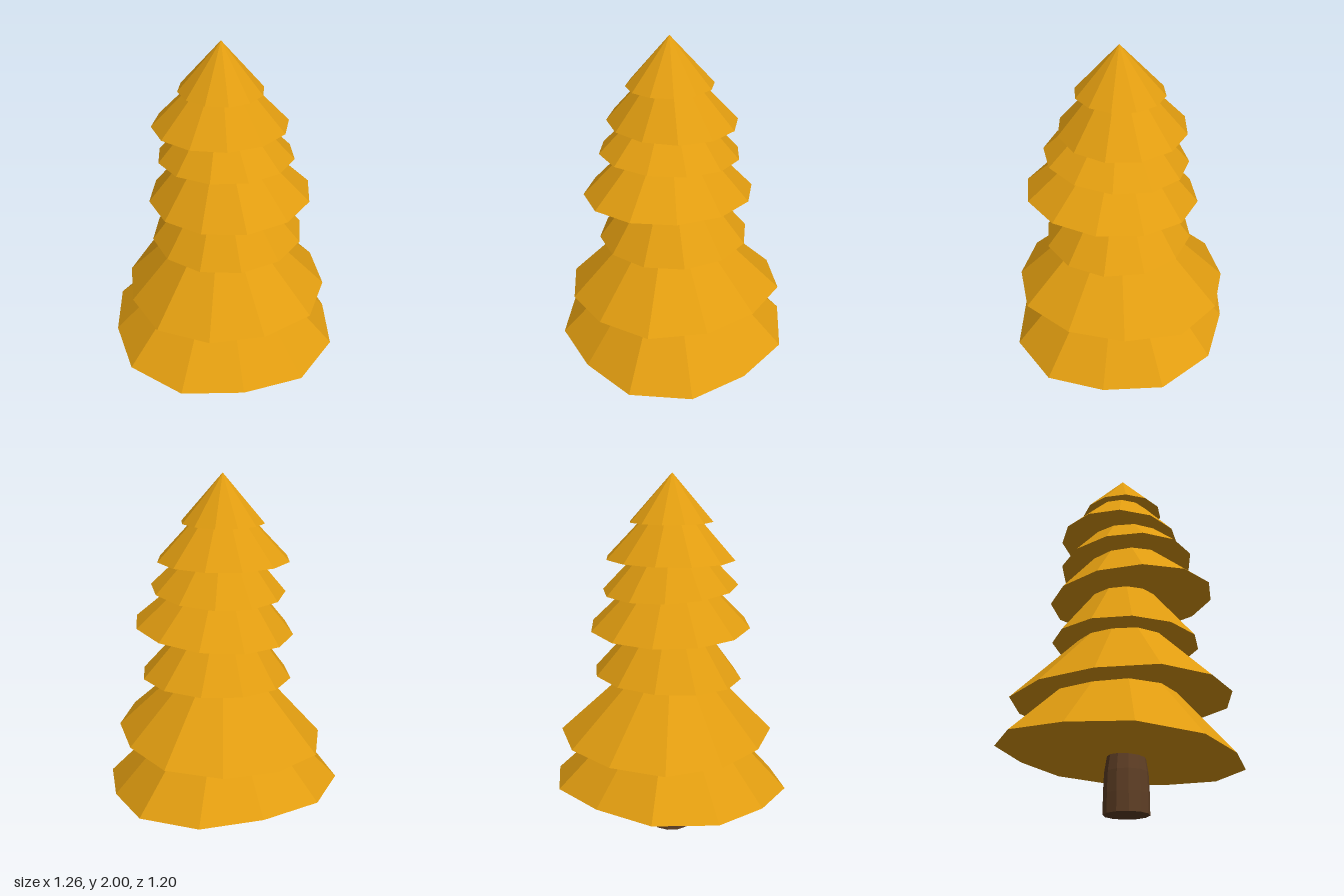
import * as THREE from 'three';

const SIDES = 12;

// Foliage tiers from bottom to top: rim height y tilted by slopeX and slopeZ, apex height,
// rim centre and radii, degrees to the first corner, and how far the rim bulges on its diagonals
const TIERS = [
  { y: 0.29, slopeX: -0.015, slopeZ: -0.065, apex: 0.95, cx: 0.01, cz: 0.01, rx: 0.655, rz: 0.625, turn: 29, bulge: 0.025 },
  { y: 0.59, slopeX: 0.035, slopeZ: 0.015, apex: 1.16, cx: 0.025, cz: 0.005, rx: 0.565, rz: 0.595, turn: 19, bulge: 0.015 },
  { y: 0.92, slopeX: 0.035, slopeZ: -0.02, apex: 1.42, cx: 0.035, cz: 0.022, rx: 0.415, rz: 0.4, turn: 0, bulge: 0 },
  { y: 1.185, slopeX: 0.05, slopeZ: 0.04, apex: 1.63, cx: 0.04, cz: 0.055, rx: 0.43, rz: 0.46, turn: 0, bulge: 0 },
  { y: 1.4, slopeX: 0.01, slopeZ: 0.07, apex: 1.78, cx: 0.022, cz: 0.033, rx: 0.358, rz: 0.378, turn: -7, bulge: 0 },
  { y: 1.562, slopeX: 0.005, slopeZ: 0, apex: 1.93, cx: 0, cz: 0.003, rx: 0.355, rz: 0.333, turn: 4, bulge: 0 },
  { y: 1.752, slopeX: 0, slopeZ: 0, apex: 2, cx: 0.001, cz: 0.016, rx: 0.218, rz: 0.23, turn: 1, bulge: 0 },
];

// Closed cone with an off-centre oval rim and a tilted flat underside
function tierGeometry(t) {
  const rimPoint = (x, z) => [x, t.y + t.slopeX * x + t.slopeZ * z, z];
  const apex = [0, t.apex, 0.02];
  const base = rimPoint(t.cx, t.cz);
  const corner = (i) => {
    const a = THREE.MathUtils.degToRad(t.turn) + ((i % SIDES) / SIDES) * Math.PI * 2;
    const bulge = -t.bulge * Math.cos(4 * a);
    return rimPoint(t.cx + (t.rx + bulge) * Math.cos(a), t.cz + (t.rz + bulge) * Math.sin(a));
  };
  const positions = [];
  for (let i = 0; i < SIDES; i++) {
    const p = corner(i);
    const q = corner(i + 1);
    positions.push(...apex, ...q, ...p, ...base, ...p, ...q);
  }
  const geometry = new THREE.BufferGeometry();
  geometry.setAttribute('position', new THREE.Float32BufferAttribute(positions, 3));
  geometry.computeVertexNormals();
  return geometry;
}

export function createModel() {
  const group = new THREE.Group();
  group.name = 'tree';

  const foliage = new THREE.MeshStandardMaterial({ color: 0xe09c10, flatShading: true });
  foliage.name = 'amber foliage';
  const bark = new THREE.MeshStandardMaterial({ color: 0x5f3f25, flatShading: true });
  bark.name = 'brown bark';

  // Foliage tiers
  TIERS.forEach((tier, i) => {
    const mesh = new THREE.Mesh(tierGeometry(tier), foliage);
    mesh.name = `foliageTier${i + 1}`;
    group.add(mesh);
  });

  // Trunk: straight foot, narrowing under the foliage
  const profile = [[0, 0], [0.118, 0], [0.118, 0.1], [0.113, 0.21], [0.095, 0.32], [0, 0.32]]
    .map(([r, y]) => new THREE.Vector2(r, y));
  const trunk = new THREE.Mesh(new THREE.LatheGeometry(profile, SIDES), bark);
  trunk.name = 'trunk';
  trunk.position.set(0.016, 0, 0.032);
  group.add(trunk);

  return group;
}
